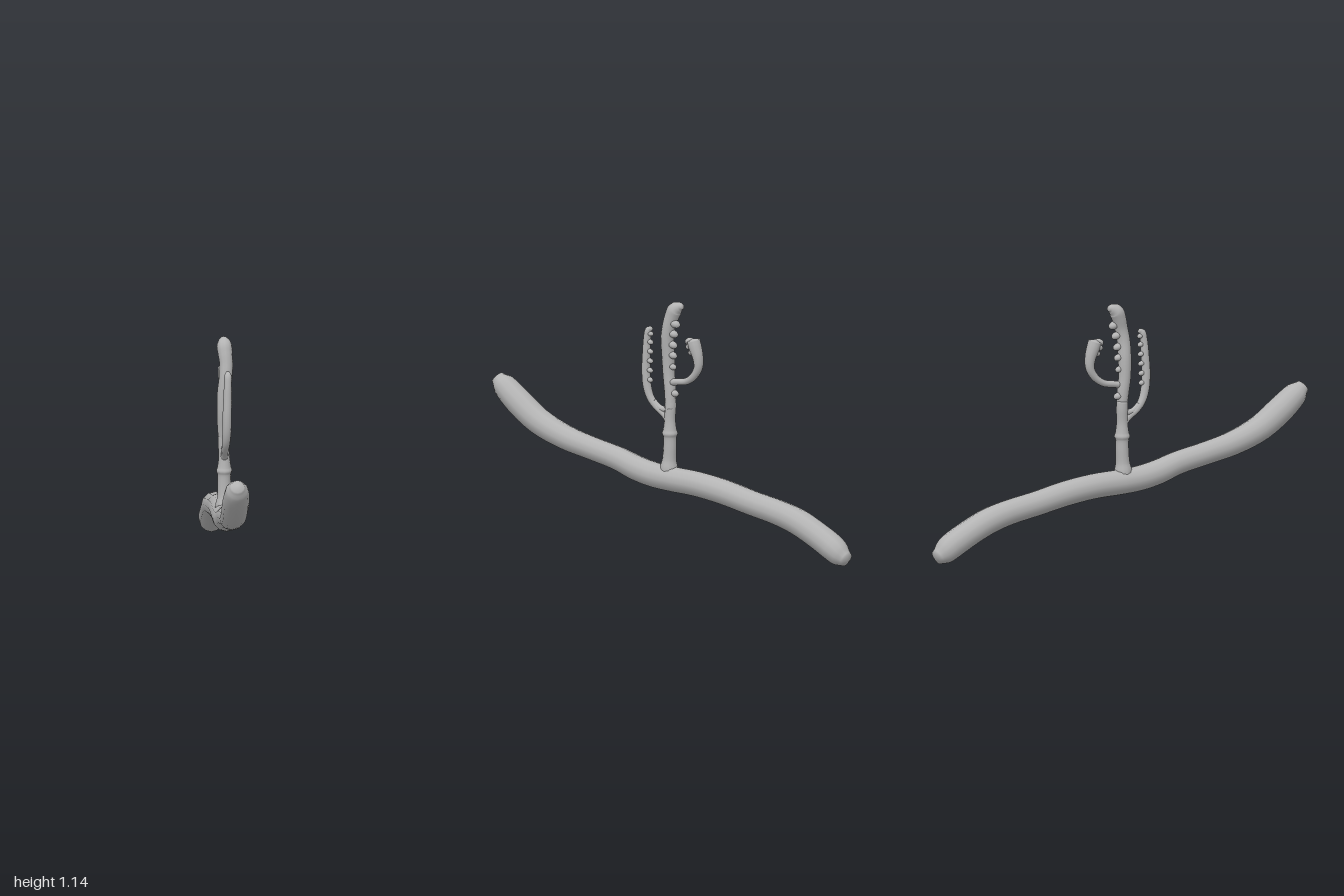
import * as THREE from 'three';

const material = new THREE.MeshStandardMaterial({ color: 0xb4b4b4 });
material.name = 'plain grey';

// Closed tube through [x, y, z, radius] points, with a swelling or narrowing radius.
function limb(name, pts, steps, sides) {
  const path = new THREE.CatmullRomCurve3(pts.map(p => new THREE.Vector3(p[0], p[1], p[2])));
  const size = new THREE.SplineCurve(pts.map((p, i) => new THREE.Vector2(i, p[3])));
  const pos = [], idx = [];
  const xAxis = new THREE.Vector3(1, 0, 0);
  for (let i = 0; i <= steps; i++) {
    const t = i / steps;
    const c = path.getPoint(t), T = path.getTangent(t), r = size.getPoint(t).y;
    const X = xAxis.clone().addScaledVector(T, -T.x).normalize();
    const N = T.clone().cross(X);
    for (let j = 0; j < sides; j++) {
      const a = (j / sides) * Math.PI * 2;
      const v = c.clone().addScaledVector(X, r * Math.cos(a)).addScaledVector(N, r * Math.sin(a));
      pos.push(v.x, v.y, v.z);
    }
  }
  for (let i = 0; i < steps; i++) {
    for (let j = 0; j < sides; j++) {
      const k = (j + 1) % sides, a = i * sides, b = a + sides;
      idx.push(a + j, a + k, b + k, a + j, b + k, b + j);
    }
  }
  // End caps, slightly domed
  const tip = pos.length / 3, last = steps * sides;
  [0, 1].forEach(t => {
    const r = size.getPoint(t).y;
    const v = path.getPoint(t).addScaledVector(path.getTangent(t), (t ? 1 : -1) * r * 0.35);
    pos.push(v.x, v.y, v.z);
  });
  for (let j = 0; j < sides; j++) {
    const k = (j + 1) % sides;
    idx.push(tip, k, j, tip + 1, last + j, last + k);
  }
  const g = new THREE.BufferGeometry();
  g.setAttribute('position', new THREE.Float32BufferAttribute(pos, 3));
  g.setIndex(idx);
  g.computeVertexNormals();
  const mesh = new THREE.Mesh(g, material);
  mesh.name = name;
  return mesh;
}

// Row of drooping lumps: each entry is [x, y, z, radius]; tilt leans them.
function lumps(name, list, tilt) {
  const row = new THREE.Group();
  row.name = name;
  for (const [x, y, z, r] of list) {
    const m = new THREE.Mesh(new THREE.SphereGeometry(r, 12, 8), material);
    m.name = 'lump';
    m.position.set(x, y, z);
    m.scale.set(1, 0.85, 1.25);
    m.rotation.x = tilt;
    row.add(m);
  }
  return row;
}

export function createModel() {
  const model = new THREE.Group();
  model.name = 'branchWithCactusShoot';

  // Long wavy branch lying along z
  model.add(limb('branch', [
    [0, 0.685, 0.98, 0.032], [0, 0.655, 0.945, 0.054], [0, 0.592, 0.87, 0.063], [0, 0.507, 0.75, 0.062],
    [0, 0.447, 0.6, 0.058], [0, 0.412, 0.45, 0.055], [0, 0.38, 0.3, 0.056], [0, 0.348, 0.2, 0.059],
    [0, 0.327, 0.1, 0.06], [0, 0.318, 0, 0.06], [0, 0.31, -0.15, 0.06], [0, 0.289, -0.3, 0.06],
    [0, 0.257, -0.45, 0.059], [0, 0.228, -0.6, 0.06], [0, 0.2, -0.7, 0.062], [0, 0.155, -0.8, 0.062],
    [0, 0.1, -0.9, 0.062], [0, 0.068, -0.945, 0.054], [0, 0.048, -0.983, 0.034],
  ], 72, 12));

  // Lower stem with a flared foot and a ring joint
  model.add(limb('stem', [
    [0, 0.34, 0.016, 0.043], [0, 0.375, 0.016, 0.041], [0, 0.41, 0.014, 0.033], [0, 0.47, 0.011, 0.031],
    [0, 0.515, 0.011, 0.031], [0, 0.532, 0.011, 0.037], [0, 0.55, 0.011, 0.032], [0, 0.6, 0.011, 0.026],
    [-0.002, 0.66, 0.009, 0.027], [-0.003, 0.7, 0.01, 0.026],
  ], 36, 12));

  // Main upright shoot, hooked at the top
  model.add(limb('mainShoot', [
    [0, 0.65, 0.008, 0.025], [-0.004, 0.74, 0.013, 0.028], [-0.006, 0.81, 0.021, 0.029],
    [-0.003, 0.9, 0.023, 0.031], [0.006, 0.98, 0.022, 0.031], [0.009, 1.04, 0.011, 0.031],
    [0.005, 1.09, -0.004, 0.034], [0.002, 1.123, -0.02, 0.035], [0.001, 1.138, -0.046, 0.023],
    [0.001, 1.139, -0.062, 0.012],
  ], 48, 12));
  const mainLumps = [0.725, 0.85, 0.905, 0.955, 1.008, 1.057].map((y, i) =>
    [-0.003 + 0.003 * i, y, [-0.012, -0.004, -0.007, -0.009, -0.014, -0.026][i], [0.019, 0.017, 0.019, 0.02, 0.021, 0.022][i]]);
  model.add(lumps('mainShootLumps', mainLumps, -0.35));

  // Slim front arm, curving out and up
  model.add(limb('frontArm', [
    [0, 0.59, 0.015, 0.018], [0, 0.622, 0.045, 0.017], [0, 0.65, 0.085, 0.017], [0.002, 0.69, 0.118, 0.019],
    [0.004, 0.745, 0.136, 0.021], [0.005, 0.82, 0.142, 0.021], [0.007, 0.9, 0.138, 0.02],
    [0.009, 0.97, 0.133, 0.018], [0.01, 1.01, 0.124, 0.017], [0.01, 1.022, 0.108, 0.01],
  ], 44, 10));
  // Short fork joining the front arm to the stem
  model.add(limb('frontArmFork', [
    [0, 0.675, 0.1, 0.013], [0, 0.65, 0.072, 0.014], [0, 0.643, 0.045, 0.015], [0, 0.65, 0.012, 0.016],
  ], 14, 10));
  model.add(lumps('frontArmLumps', [0.775, 0.82, 0.865, 0.91, 0.955, 0.995].map((y, i) =>
    [0.005 + 0.001 * i, y, 0.12 - 0.001 * i, 0.014]), -0.35));

  // Back arm, curving out and up to a thick end
  model.add(limb('backArm', [
    [0, 0.775, 0.01, 0.016], [0.002, 0.782, -0.035, 0.016], [0.004, 0.791, -0.085, 0.016],
    [0.008, 0.82, -0.128, 0.018], [0.01, 0.865, -0.155, 0.021], [0.011, 0.915, -0.153, 0.026],
    [0.011, 0.96, -0.138, 0.031], [0.011, 0.99, -0.128, 0.031],
  ], 36, 12));
  model.add(lumps('backArmLumps', [
    [0.011, 0.935, -0.123, 0.018], [0.011, 0.962, -0.112, 0.02], [0.011, 0.985, -0.106, 0.019],
  ], 0.4));

  return model;
}
